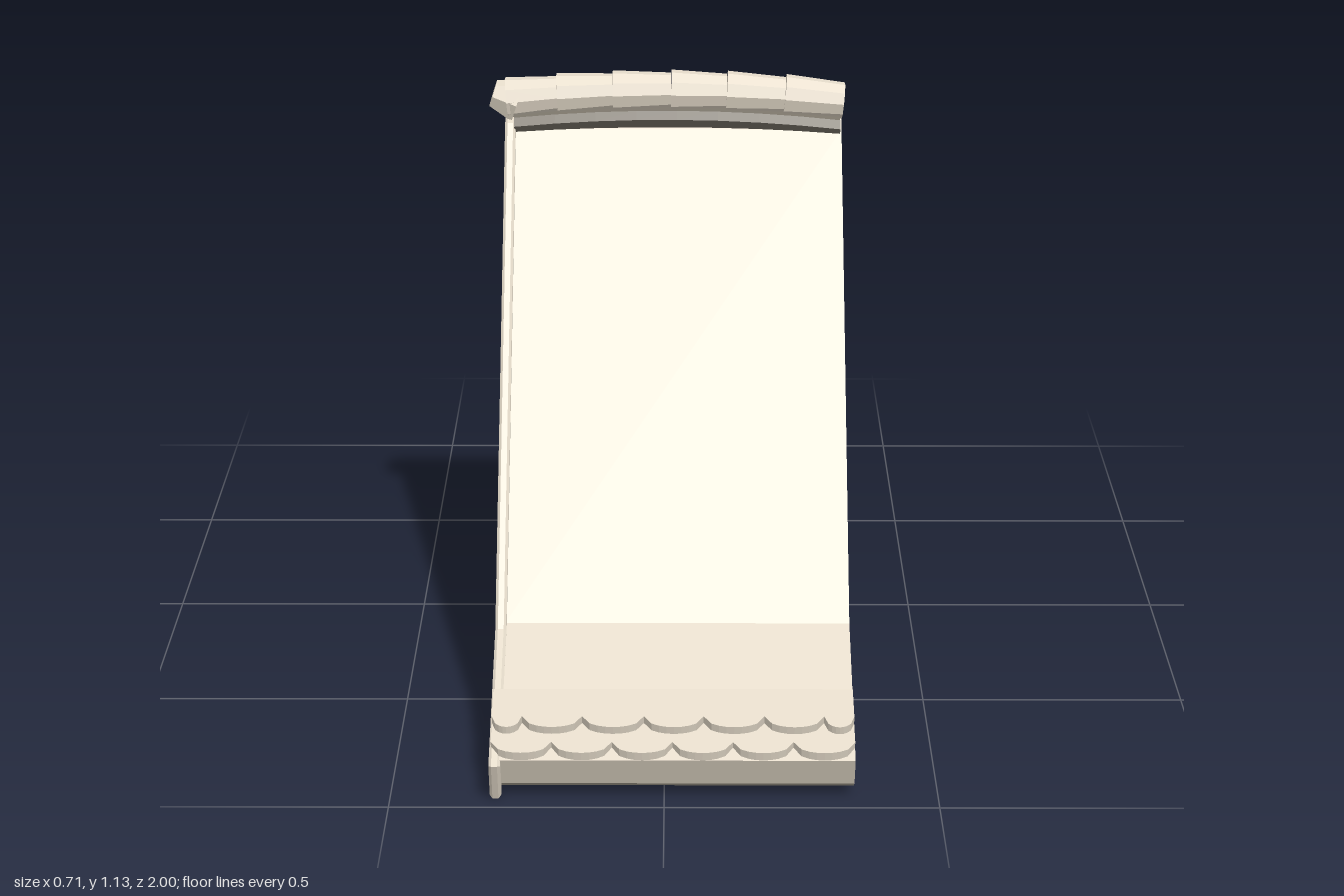
import * as THREE from 'three';

function material(name, color) {
  const m = new THREE.MeshStandardMaterial({ color, flatShading: true });
  m.name = name;
  return m;
}
const clay = material('pale clay', 0xe6dccb);
const shade = material('dark underside', 0x7c766b);

const X0 = -0.3, X1 = 0.347;
const arch = (x) => -0.16 * x * x; // gentle hump of the ridge line

function mesh(name, geometry, mat = clay) {
  const m = new THREE.Mesh(geometry, mat);
  m.name = name;
  return m;
}

// Extrude a z-symmetric section, given as its +z half from top to bottom, along x
function gableSection(half, x0, x1, options = {}) {
  const pts = [...half, ...half.slice().reverse().map(([z, y]) => [-z, y])]
    .filter((p, i, a) => i === 0 || p[0] !== a[i - 1][0] || p[1] !== a[i - 1][1]);
  const shape = new THREE.Shape(pts.map(([z, y]) => new THREE.Vector2(z, y)));
  const geo = new THREE.ExtrudeGeometry(shape, { depth: x1 - x0, bevelEnabled: false, ...options });
  return geo.rotateY(Math.PI / 2).translate(x0, 0, 0);
}

// Strip of tiles whose lower edge is a run of shallow scallops
function tileStrip(edges, length, dip, flip) {
  const s = flip ? -1 : 1;
  const shape = new THREE.Shape();
  shape.moveTo(s * edges[0], 0);
  shape.lineTo(s * edges[0], -length + dip);
  for (let i = 1; i < edges.length; i++) {
    const a = edges[i - 1], w = edges[i] - a;
    for (let k = 1; k <= 8; k++) {
      const t = k / 8;
      const drop = dip * Math.sqrt(Math.max(0, 1 - (2 * t - 1) ** 2));
      shape.lineTo(s * (a + w * t), -length + dip - drop);
    }
  }
  shape.lineTo(s * edges[edges.length - 1], 0);
  return new THREE.ExtrudeGeometry(shape, { depth: 0.018, bevelEnabled: false });
}

export function createModel() {
  const model = new THREE.Group();
  model.name = 'gableRoofSection';

  // Roof slab: two steep slopes with flared eaves
  model.add(mesh('roofSlab', gableSection([
    [0, 1.05], [0.03, 1.02], [0.665, 0.225], [0.983, 0.085],
    [0.952, 0.025], [0.63, 0.175], [0, 0.97],
  ], X0, X1)));

  // Dark lining under the slab
  model.add(mesh('soffit', gableSection([
    [0, 0.972], [0.631, 0.177], [0.953, 0.027],
    [0.951, 0.022], [0.6285, 0.1715], [0, 0.965],
  ], X0, X1 - 0.001), shade));

  // Barge board closing one end, slightly deeper than the slab
  model.add(mesh('bargeBoard', gableSection([
    [0, 1.05], [0.04, 1.035], [0.688, 0.222], [1, 0.08],
    [0.962, 0], [0.636, 0.16], [0, 0.963],
  ], -0.313, -0.302, {
    bevelEnabled: true, bevelThickness: 0.005, bevelSize: 0.005, bevelOffset: -0.005, bevelSegments: 1,
  })));

  // Dark bedding under the ridge, following the hump
  const bed = gableSection([[0, 1.05], [0.036, 1.045], [0.05, 1.03], [0, 0.985]],
    X0, X1 - 0.003, { steps: 8 });
  const p = bed.attributes.position;
  for (let i = 0; i < p.count; i++) p.setY(i, p.getY(i) + 0.014 + arch(p.getX(i)));
  bed.computeVertexNormals();
  model.add(mesh('ridgeBed', bed, shade));

  // Overlapping tapered ridge tiles
  const ridge = new THREE.Group();
  ridge.name = 'ridgeTiles';
  const joints = [-0.315, -0.215, -0.105, 0.01, 0.12, 0.235, 0.351];
  for (let i = 0; i < 6; i++) {
    const a = joints[i], b = joints[i + 1];
    const ya = 1.091 + arch(a), yb = 1.091 + arch(b);
    const geo = new THREE.CylinderGeometry(0.036, 0.042, Math.hypot(b - a, yb - ya), 10);
    const tile = mesh('ridgeTile', geo);
    tile.position.set((a + b) / 2, (ya + yb) / 2, 0);
    tile.rotation.z = Math.atan2(yb - ya, b - a) - Math.PI / 2;
    ridge.add(tile);
  }
  model.add(ridge);

  // Faceted cap on the barge end of the ridge
  const cap = mesh('ridgeCap', new THREE.CylinderGeometry(0.028, 0.046, 0.05, 7));
  cap.position.set(-0.319, 1.077, 0);
  cap.rotation.z = Math.PI / 2 - 0.3;
  model.add(cap);

  // Two rows of scalloped tiles on each eave
  const upper = [-0.315, -0.26, -0.15, -0.037, 0.072, 0.183, 0.292, X1];
  const lower = [-0.315, -0.205, -0.095, 0.015, 0.125, 0.235, X1];
  const rows = [
    { name: 'upperTileRow', edges: upper, length: 0.11, y: 0.145, z: 0.829 },
    { name: 'lowerTileRow', edges: lower, length: 0.125, y: 0.119, z: 0.862 },
  ];
  for (const back of [false, true]) {
    const eave = new THREE.Group();
    eave.name = back ? 'backEaveTiles' : 'frontEaveTiles';
    for (const r of rows) {
      const row = mesh(r.name, tileStrip(r.edges, r.length, 0.031, back));
      row.rotation.x = -THREE.MathUtils.degToRad(74);
      row.position.set(0, r.y, r.z);
      eave.add(row);
    }
    if (back) eave.rotation.y = Math.PI;
    model.add(eave);
  }
  return model;
}
